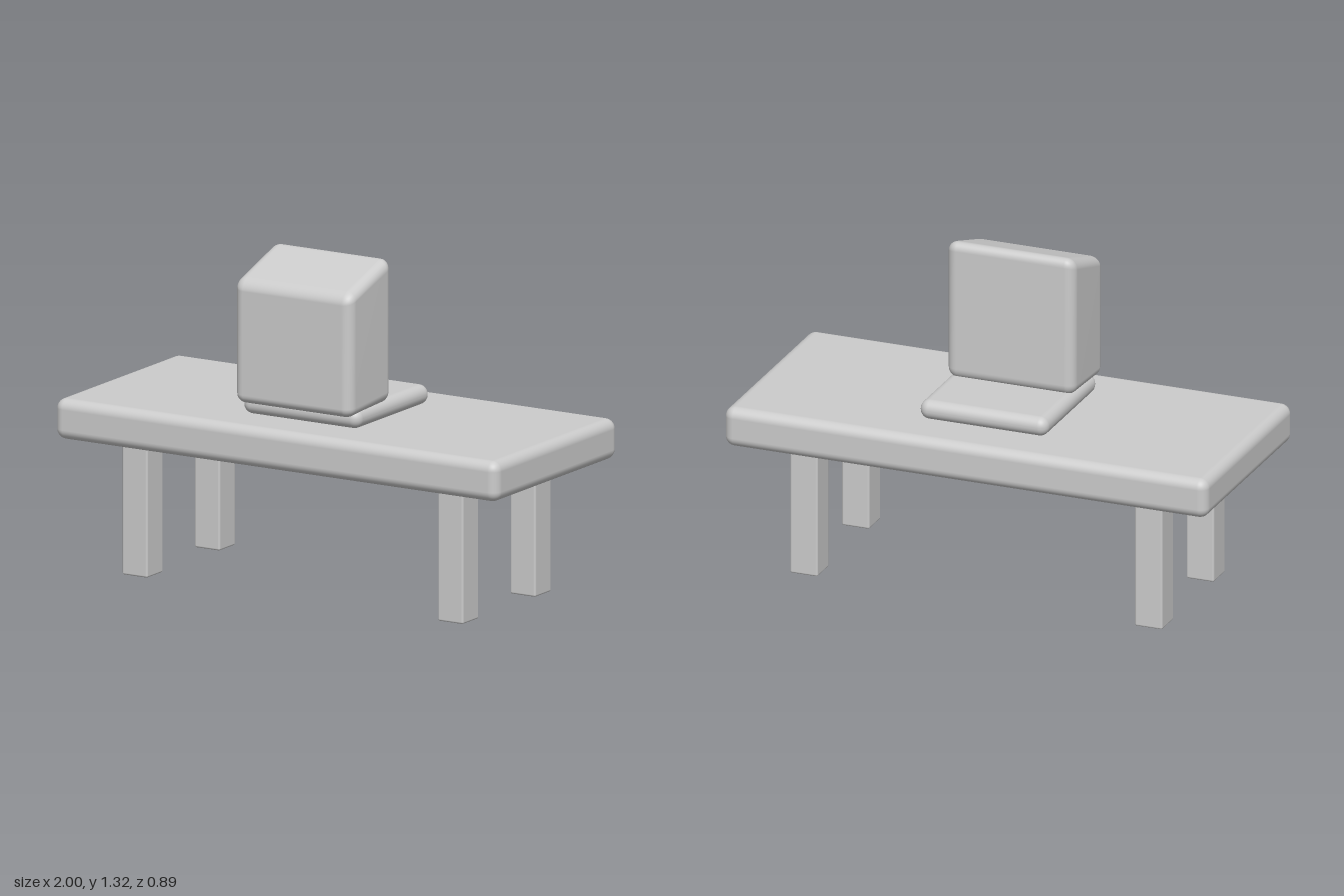
import * as THREE from 'three';
import { RoundedBoxGeometry } from 'three/addons/geometries/RoundedBoxGeometry.js';
import { mergeVertices } from 'three/addons/utils/BufferGeometryUtils.js';

const grey = new THREE.MeshStandardMaterial({ color: 0xcccccc });

// Rounded box given by its lower and upper corners
function roundedBox(name, min, max, radius) {
  const size = max.map((v, i) => v - min[i]);
  const mesh = new THREE.Mesh(new RoundedBoxGeometry(...size, 5, radius), grey);
  mesh.name = name;
  mesh.position.set(...max.map((v, i) => (v + min[i]) / 2));
  return mesh;
}

// Upright housing: rounded box whose top slopes up towards the back
function createMonitor() {
  const [height, depth] = [0.54, 0.306];
  let geo = new RoundedBoxGeometry(0.53, height, depth, 5, 0.042);
  const pos = geo.attributes.position;
  for (let i = 0; i < pos.count; i++) {
    const back = 0.5 - pos.getZ(i) / depth;
    const up = pos.getY(i) / height + 0.5;
    const bottom = 0.74 + 0.014 * back;
    const top = 1.224 + 0.104 * back;
    pos.setY(i, bottom + up * (top - bottom));
  }
  geo.deleteAttribute('uv');
  geo.deleteAttribute('normal');
  geo = mergeVertices(geo, 1e-5);
  geo.computeVertexNormals();
  const mesh = new THREE.Mesh(geo, grey);
  mesh.name = 'monitor';
  mesh.position.z = 0.167;
  return mesh;
}

export function createModel() {
  const model = new THREE.Group();
  model.name = 'deskWithComputer';

  // Desk
  model.add(roundedBox('tableTop', [-1, 0.53, -0.443], [1, 0.69, 0.443], 0.04));
  for (const side of [-1, 1]) {
    for (const [end, z] of [['front', 0.257], ['back', -0.266]]) {
      const x = side * 0.713;
      const name = end + (side > 0 ? 'Left' : 'Right') + 'Leg';
      model.add(roundedBox(name, [x - 0.057, 0, z - 0.058], [x + 0.057, 0.56, z + 0.058], 0.008));
    }
  }

  // Computer
  model.add(roundedBox('keyboardBase', [-0.265, 0.688, -0.266], [0.265, 0.766, 0.266], 0.038));
  model.add(createMonitor());
  return model;
}
